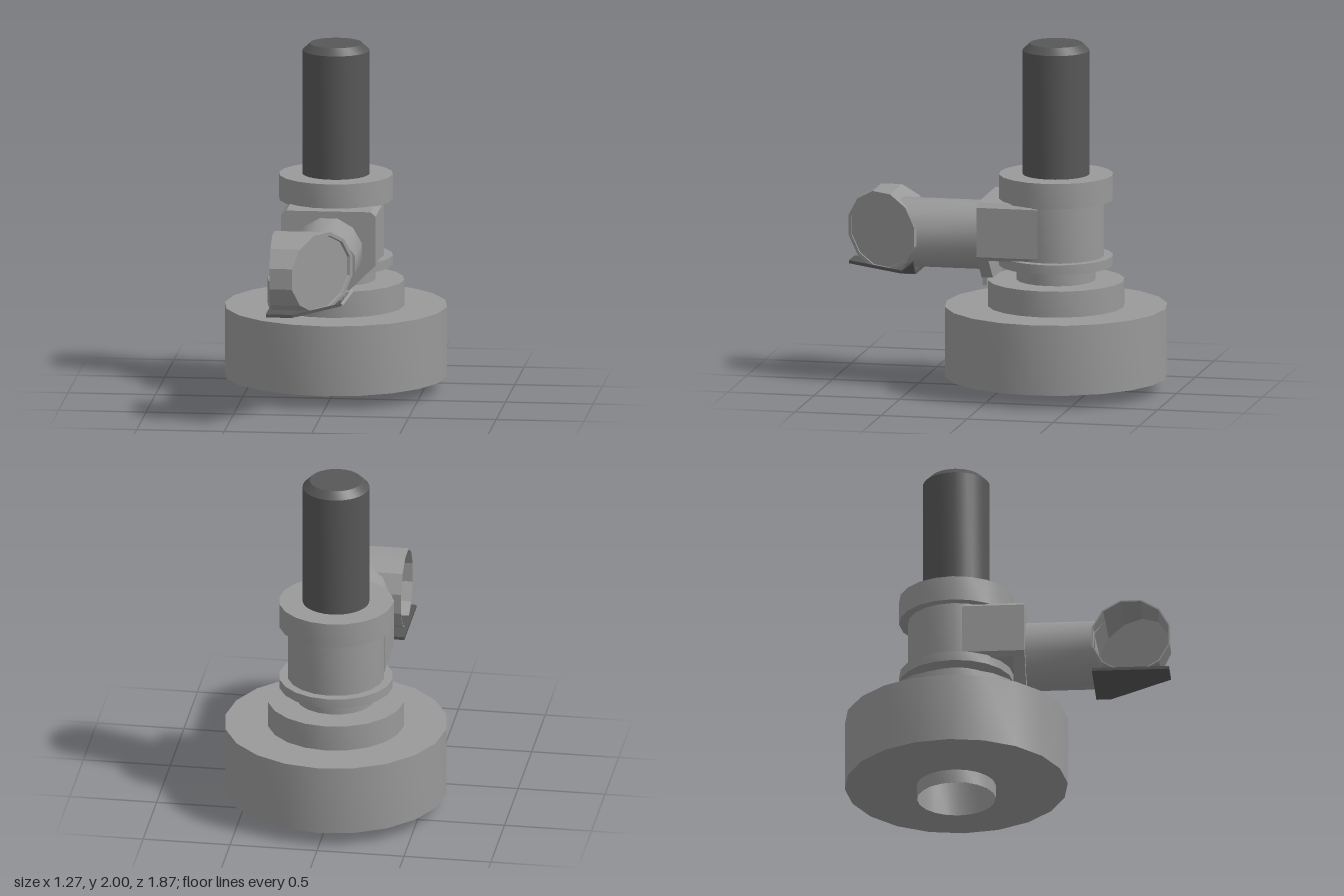
import * as THREE from 'three';
import { toCreasedNormals } from 'three/addons/utils/BufferGeometryUtils.js';

const AXIS_Z = -0.3; // vertical axis of all turned parts
const grey = new THREE.MeshStandardMaterial({ color: 0x999999, side: THREE.DoubleSide });
const dark = new THREE.MeshStandardMaterial({ color: 0x575757 });

const v2 = (points) => points.map(([a, b]) => new THREE.Vector2(a, b));

function named(name, geometry, material = grey, crease = 0.45) {
  const mesh = new THREE.Mesh(toCreasedNormals(geometry, crease), material);
  mesh.name = name;
  return mesh;
}

function turned(name, points, sides = 20, material = grey) {
  const mesh = named(name, new THREE.LatheGeometry(v2(points), sides), material);
  mesh.position.z = AXIS_Z;
  return mesh;
}

// Lathe of 12 sides whose vertices are moved by a rule
function shapedTube(name, points, crease, rule) {
  const geometry = new THREE.LatheGeometry(v2(points), 12, Math.PI / 12);
  const p = geometry.attributes.position;
  for (let i = 0; i < p.count; i++) p.setXYZ(i, ...rule(p.getX(i), p.getY(i), p.getZ(i)));
  return named(name, geometry, grey, crease);
}

function slab(name, outline, depth, material = grey) {
  const geometry = new THREE.ExtrudeGeometry(new THREE.Shape(v2(outline)), { depth, bevelEnabled: false });
  return named(name, geometry, material);
}

export function createModel() {
  const model = new THREE.Group();
  model.name = 'periscopeSight';

  // Stepped base with a hollow socket underneath
  model.add(turned('base', [
    [0, 0.235], [0.223, 0.235], [0.223, 0], [0.225, 0], [0.225, 0.08], [0.635, 0.08],
    [0.635, 0.485], [0.39, 0.485], [0.39, 0.635], [0.225, 0.635], [0.225, 0.73],
  ]));

  // Flange, round housing and collar
  model.add(turned('housing', [
    [0, 0.72], [0.325, 0.72], [0.325, 0.775], [0.275, 0.775], [0.275, 1.1],
    [0.325, 1.1], [0.325, 1.245], [0, 1.245],
  ]));

  // Dark upright column with a bevelled top
  model.add(turned('column', [[0, 1.24], [0.19, 1.24], [0.19, 1.96], [0.15, 2], [0, 2]], 32, dark));

  // Square front of the housing with bevelled long edges
  const block = slab('housingBlock', [
    [-0.24, 0.77], [0.24, 0.77], [0.27, 0.795], [0.27, 1.08],
    [0.24, 1.105], [-0.24, 1.105], [-0.27, 1.08], [-0.27, 0.795],
  ], 0.355);
  block.position.z = -0.25;
  model.add(block);

  // Chamfered apron and its lower tab
  const apron = slab('apron', [
    [-0.12, 0.65], [0.12, 0.65], [0.27, 0.8], [-0.27, 0.8],
  ], 0.065);
  apron.position.z = 0.041;
  model.add(apron);
  const tab = slab('lowerTab', [[-0.095, 0.6], [0.09, 0.6], [0.09, 0.66], [-0.095, 0.66]], 0.026);
  tab.position.z = 0.081;
  model.add(tab);

  // Elbow: a sideways cup, open at -x, cut off at a slant at +x
  const elbowY = 0.875, elbowZ = 0.71;
  const mitreX = (z) => 0.19 - (z - 0.47) * 0.674;
  model.add(shapedTube('eyepieceElbow', [
    [0, 0.97], [0.21, 0.97], [0.222, 0], [0.23, 0], [0.23, 1], [0.21, 1], [0.21, 0.985], [0, 0.985],
  ], 0.45, (x, t, z) => [
    t > 0.5 ? mitreX(elbowZ + z) + t - 1 : -0.25, elbowY - x, elbowZ + z,
  ]));

  // Arm from the housing, its far end fitted to the elbow and its slant
  model.add(shapedTube('arm', [[0.197, 0], [0.197, 1]], 0.6, (x, t, z) => {
    const join = elbowZ - Math.sqrt(0.2225 ** 2 - z * z) + 0.01;
    const slant = 0.47 + (0.19 - x) / 0.674;
    return [x, elbowY - z, t > 0.5 ? Math.min(join, slant) : 0.05];
  }));

  // Dark plate under the elbow, following the slant
  const plate = slab('elbowPlate', [[-0.27, 0.49], [0.12, 0.49], [0.12, 0.574], [-0.12, 0.93], [-0.27, 0.93]], 0.018, dark);
  plate.rotation.x = Math.PI / 2;
  plate.position.y = 0.67;
  model.add(plate);

  // Corner of the plate, folded up along the elbow
  const flap = slab('plateFlap', [[0, 0.49], [0.09, 0.49], [0, 0.574]], 0.018, dark);
  flap.rotation.set(Math.PI / 2, 0, 0.92, 'ZYX');
  flap.position.set(0.12, 0.67, 0);
  model.add(flap);

  return model;
}
